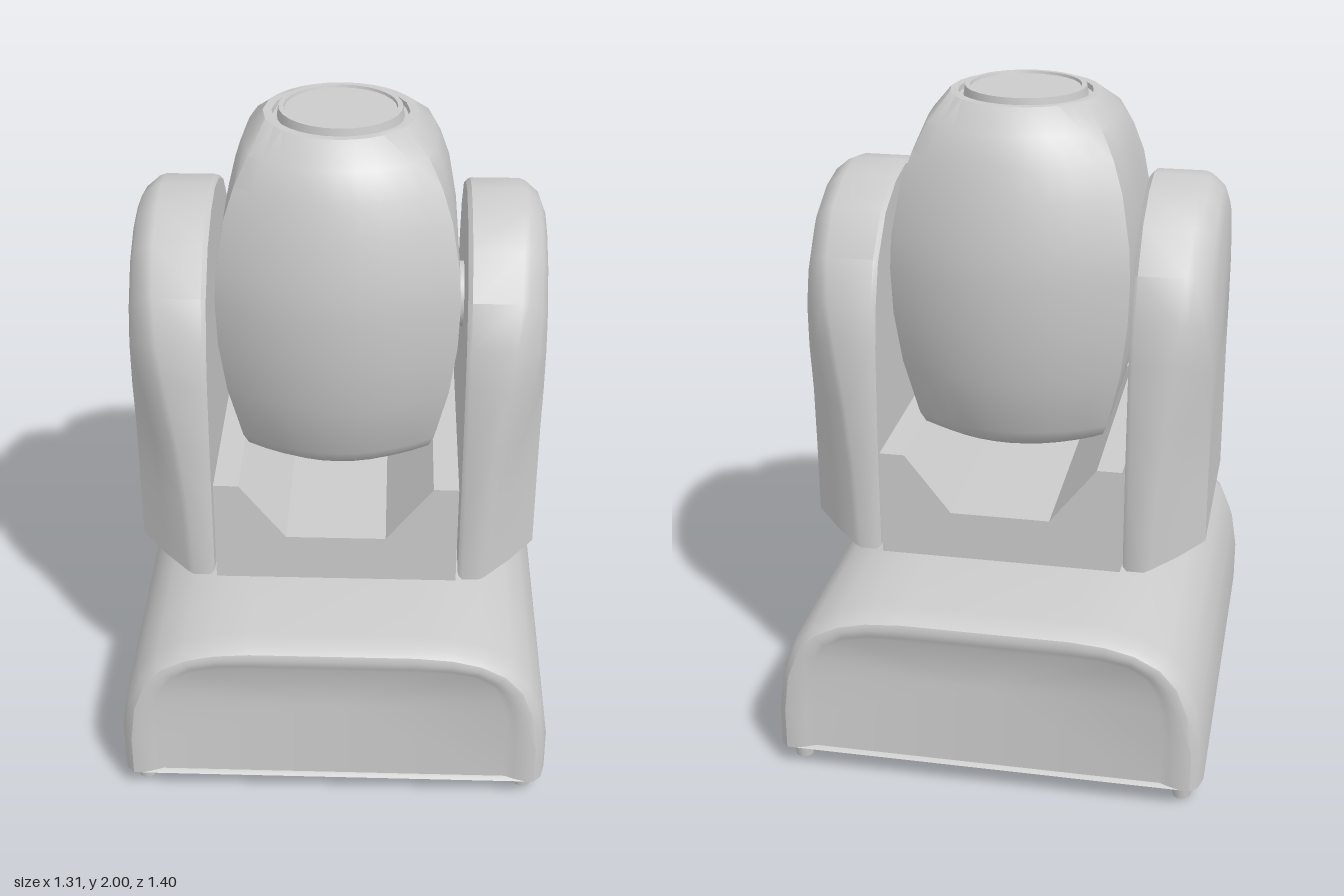
import * as THREE from 'three';
import { toCreasedNormals } from 'three/addons/utils/BufferGeometryUtils.js';

const material = new THREE.MeshStandardMaterial({ color: 0xcccccc });
const lerp = THREE.MathUtils.lerp;

function add(parent, name, geometry, x = 0, y = 0, z = 0) {
  const mesh = new THREE.Mesh(geometry, material);
  mesh.name = name;
  mesh.position.set(x, y, z);
  parent.add(mesh);
  return mesh;
}

// Closed skin over equal-length rings of [x, y, z], capped at both ends, facing outward.
function loft(rings, crease = 0.65) {
  const n = rings[0].length;
  const points = rings.flat();
  const faces = [];
  for (let r = 0; r < rings.length - 1; r++) {
    for (let i = 0; i < n; i++) {
      const j = (i + 1) % n;
      const a = r * n + i, b = r * n + j, c = b + n, d = a + n;
      faces.push([a, b, c], [a, c, d]);
    }
  }
  [0, rings.length - 1].forEach((r) => {
    const centre = [0, 1, 2].map((k) => rings[r].reduce((s, p) => s + p[k], 0) / n);
    const m = points.push(centre) - 1;
    for (let i = 0; i < n; i++) {
      const a = r * n + i, b = r * n + (i + 1) % n;
      faces.push(r === 0 ? [b, a, m] : [a, b, m]);
    }
  });
  // Signed volume tells which way the skin faces
  const v = points.map((p) => new THREE.Vector3(...p));
  const volume = faces.reduce((s, [a, b, c]) => s + v[a].dot(v[b].clone().cross(v[c])), 0);
  if (volume < 0) faces.forEach((f) => f.reverse());
  const g = new THREE.BufferGeometry();
  g.setAttribute('position', new THREE.Float32BufferAttribute(points.flat(), 3));
  g.setIndex(faces.flat());
  return toCreasedNormals(g, crease);
}

// Half outline (bottom centre to top centre) -> full loop; the first value is mirrored.
const mirrorLoop = (half) => [
  ...half,
  ...half.slice(1, -1).reverse().map(([a, ...rest]) => [-a, ...rest]),
];

// Arched base with rounded rims around recessed end panels
function baseGeometry() {
  const outer = mirrorLoop([[0, 0.065], [0.655, 0.065], [0.655, 0.2], [0.637, 0.32], [0.595, 0.42],
    [0.535, 0.485], [0.45, 0.527], [0.36, 0.55], [0.25, 0.56], [0, 0.56]]);
  const panel = mirrorLoop([[0, 0.08], [0.53, 0.08], [0.53, 0.2], [0.522, 0.32], [0.505, 0.385],
    [0.475, 0.43], [0.425, 0.46], [0.35, 0.472], [0.25, 0.475], [0, 0.475]]);
  const steps = [[1, 0.685], [0.8, 0.693], [0.5, 0.7], [0.28, 0.695], [0.1, 0.67], [0, 0.62]];
  const ring = ([t, z], side) => outer.map(([x, y], i) => {
    const py = lerp(y, panel[i][1], t);
    return [lerp(x, panel[i][0], t), py, side * (z - 0.02 * (py - 0.065))];
  });
  return loft([
    ...steps.map((s) => ring(s, -1)),
    ...steps.slice().reverse().map((s) => ring(s, 1)),
  ]);
}

// Side arm: round-topped slab whose outer face is chamfered, more deeply low down
function armGeometry(side) {
  const rim = mirrorLoop([[0, 0.645, 0.51], [0.22, 0.645, 0.505], [0.435, 0.645, 0.455],
    [0.435, 0.9, 0.465], [0.43, 1.1, 0.485], [0.42, 1.3, 0.515], [0.4, 1.42, 0.535], [0.355, 1.55, 0.545],
    [0.25, 1.67, 0.55], [0.12, 1.73, 0.55], [0, 1.75, 0.55]]);
  const face = mirrorLoop([[0, 0.69], [0.15, 0.69], [0.285, 0.69], [0.285, 0.9], [0.29, 1.1],
    [0.31, 1.25], [0.31, 1.38], [0.28, 1.48], [0.2, 1.59], [0.1, 1.65], [0, 1.67]]);
  const slice = (x, scale) => rim.map(([z, y]) => [side * x, 1.15 + (y - 1.15) * scale, z * scale]);
  const middle = rim.map(([z, y, x], i) => {
    const bulge = y > 1.2 ? 0.012 : 0;
    return [side * ((x + 0.605) / 2 + bulge), (y + face[i][1]) / 2, (z + face[i][0]) / 2];
  });
  return loft([
    slice(0.372, 0.98),
    slice(0.385, 1),
    rim.map(([z, y, x]) => [side * (x - 0.02), y, z]),
    rim.map(([z, y, x]) => [side * x, lerp(y, 1.15, 0.012), z * 0.98]),
    middle,
    face.map(([z, y]) => [side * 0.605, y, z]),
  ]);
}

// Barrel head: flat-sided section with bowed front and back, turning round at the top
function headGeometry() {
  const section = [];
  for (const s of [1, -1]) {
    for (let i = 0; i < 10; i++) {
      const x = s * (1 - i / 5);
      section.push([x, s * (1 - 0.31 * x * x)]);
    }
    for (let i = 0; i < 4; i++) section.push([-s, s * 0.69 * (1 - i / 2)]);
  }
  // height, half width, half depth, roundness
  const levels = [[0.955, 0.2, 0.24, 0.2], [0.962, 0.245, 0.275, 0.1], [0.985, 0.275, 0.305, 0],
    [1.02, 0.29, 0.325, 0], [1.2, 0.33, 0.375, 0], [1.36, 0.35, 0.4, 0], [1.5, 0.355, 0.405, 0],
    [1.6, 0.35, 0.4, 0], [1.75, 0.33, 0.37, 0.1], [1.84, 0.308, 0.34, 0.25], [1.92, 0.28, 0.305, 0.5],
    [1.985, 0.225, 0.225, 1], [1.985, 0.2, 0.2, 1], [1.97, 0.198, 0.198, 1]];
  return loft(levels.map(([y, w, d, round]) => section.map(([x, z]) => {
    const k = lerp(1, 1 / Math.hypot(x, z), round);
    return [x * w * k, y, z * d * k];
  })));
}

export function createModel() {
  const model = new THREE.Group();
  model.name = 'movingHeadLight';

  add(model, 'base', baseGeometry());
  for (const x of [-0.59, 0.59]) {
    for (const z of [-0.615, 0.615]) {
      add(model, 'foot', new THREE.CylinderGeometry(0.037, 0.027, 0.08, 16), x, 0.04, z);
    }
  }
  add(model, 'turntable', new THREE.CylinderGeometry(0.28, 0.28, 0.1, 40), 0, 0.595, 0);

  // Notched cradle between the arms
  const outline = [[-0.365, 0.64], [0.365, 0.64], [0.365, 0.97], [0.29, 0.97], [0.15, 0.79],
    [-0.15, 0.79], [-0.29, 0.97], [-0.365, 0.97]];
  const shape = new THREE.Shape(outline.map(([x, y]) => new THREE.Vector2(x, y)));
  add(model, 'cradle', new THREE.ExtrudeGeometry(shape, { depth: 0.87, bevelEnabled: false }), 0, 0, -0.435);

  for (const side of [-1, 1]) {
    add(model, side > 0 ? 'leftArm' : 'rightArm', armGeometry(side));
    const pivot = add(model, 'pivot', new THREE.CylinderGeometry(0.1, 0.1, 0.06, 24), side * 0.36, 1.4, 0);
    pivot.rotation.z = Math.PI / 2;
  }

  add(model, 'head', headGeometry());

  // Raised lens ring with a slightly sunken glass
  const profile = [[0.185, 1.965], [0.18, 2], [0.165, 2], [0.163, 1.992], [0, 1.992]];
  const lens = new THREE.LatheGeometry(profile.map(([r, y]) => new THREE.Vector2(r, y)), 28);
  add(model, 'lens', toCreasedNormals(lens, 0.5));

  return model;
}
